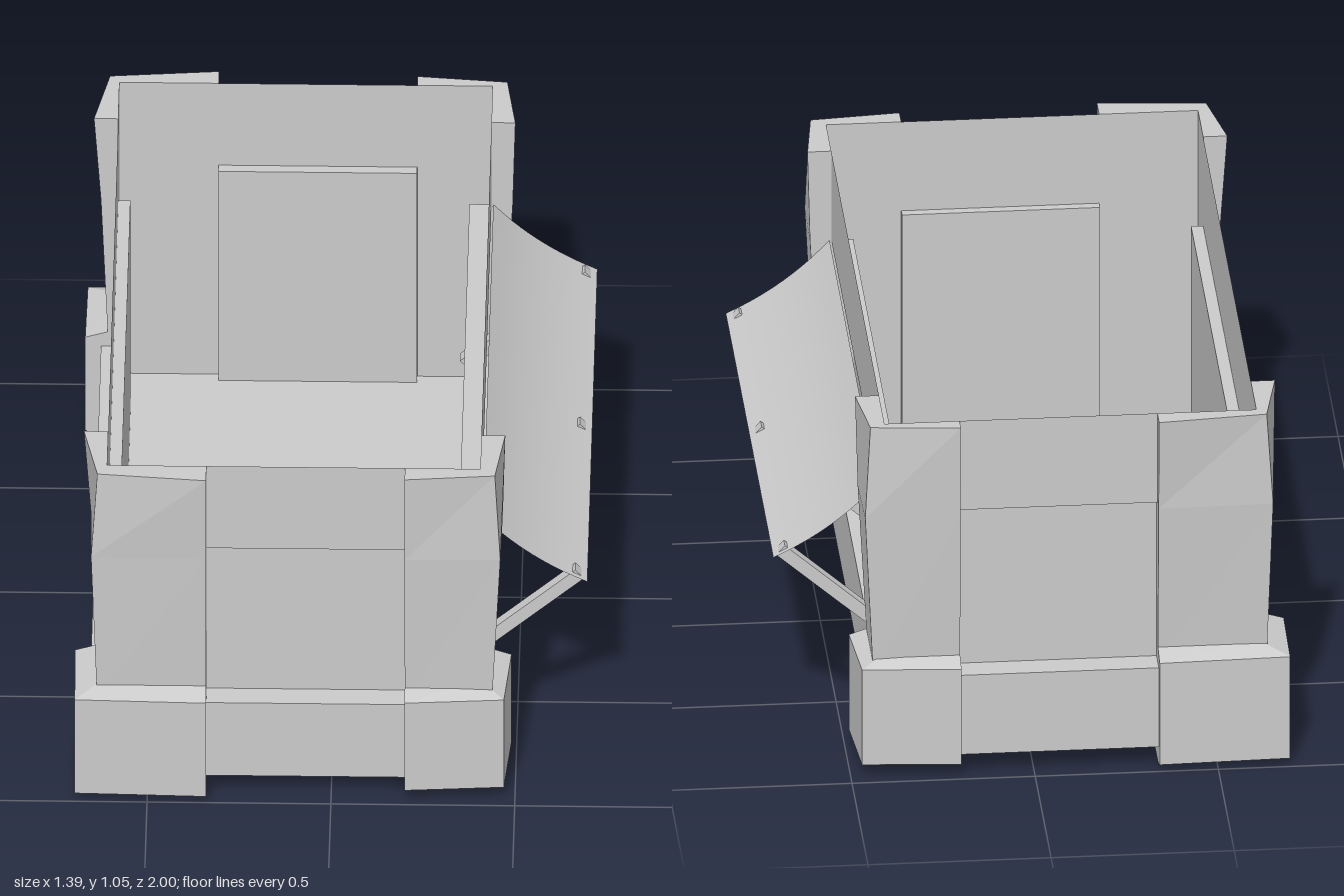
import * as THREE from 'three';

const mat = new THREE.MeshStandardMaterial({ color: 0xcccccc, flatShading: true });
const sheetMat = new THREE.MeshStandardMaterial({ color: 0xcccccc, side: THREE.DoubleSide });

// inner planes of the crate: recessed panel, upper plank and rail faces
const PANEL = { xn: -0.577, xp: 0.345, zn: -0.895, zp: 0.886 };
const PLANK = { xn: -0.61, xp: 0.405, zn: -0.925, zp: 0.912 };
const RAIL = { xn: -0.657, xp: 0.425, zn: -0.97, zp: 0.956 };
const X0 = -0.34, X1 = 0.2, Z = 0.75, FLOOR = 0.06, RAIL_TOP = 0.3, LEDGE = 0.78, TOP = 1.05;

function add(group, name, geometry, material = mat) {
  const mesh = new THREE.Mesh(geometry, material);
  mesh.name = name;
  group.add(mesh);
  return mesh;
}

function fromTriangles(pts) {
  const g = new THREE.BufferGeometry();
  g.setAttribute('position', new THREE.Float32BufferAttribute(pts.flat(), 3));
  g.computeVertexNormals();
  return g;
}

// solid through stacked rings of [x, y, z]; caps fan out from the first point
function loft(rings) {
  const r0 = rings[0];
  let area = 0;
  r0.forEach((p, i) => {
    const q = r0[(i + 1) % r0.length];
    area += p[2] * q[0] - q[2] * p[0];
  });
  if (area < 0) rings = rings.map(r => [r[0], ...r.slice(1).reverse()]);
  const n = r0.length, t = [];
  for (let k = 0; k + 1 < rings.length; k++) {
    const a = rings[k], b = rings[k + 1];
    for (let i = 0; i < n; i++) {
      const j = (i + 1) % n;
      t.push(a[i], a[j], b[j], a[i], b[j], b[i]);
    }
  }
  const lo = rings[0], hi = rings[rings.length - 1];
  for (let i = 1; i + 1 < n; i++) t.push(lo[0], lo[i + 1], lo[i], hi[0], hi[i], hi[i + 1]);
  return fromTriangles(t);
}

// L-shaped ring: inner corner (xi, zi), outer corner (xc, zc), flared ends xa and zb
function ell({ xi, zi, xe, ze, xc, zc, xa, zb }, yIn, yOut) {
  return [[xi, yIn, zi], [xi, yIn, ze], [xa, yOut, ze], [xc, yOut, zc], [xe, yOut, zb], [xe, yIn, zi]];
}

function box(x0, x1, y0, y1, z0, z1) {
  return new THREE.BoxGeometry(x1 - x0, y1 - y0, z1 - z0)
    .translate((x0 + x1) / 2, (y0 + y1) / 2, (z0 + z1) / 2);
}

// stepped sheet: recessed panel, ledge, upper plank, and strips closing its ends
function wall(panel, plank, a, b, alongZ) {
  const at = (o, y, s) => (alongZ ? [o, y, s] : [s, y, o]);
  const quad = (p, q, r, s) => [p, q, r, p, r, s];
  const prof = [[panel, FLOOR], [panel, LEDGE], [plank, LEDGE], [plank, TOP]];
  const t = [];
  for (let i = 0; i < 3; i++) {
    const [o, y] = prof[i], [o2, y2] = prof[i + 1];
    t.push(...quad(at(o, y, a), at(o, y, b), at(o2, y2, b), at(o2, y2, a)));
  }
  for (const s of [a, b]) {
    t.push(...quad(at(panel, FLOOR, s), at(plank, FLOOR, s), at(plank, LEDGE, s), at(panel, LEDGE, s)));
  }
  return fromTriangles(t);
}

export function createModel() {
  const model = new THREE.Group();
  model.name = 'crateStall';

  // walls
  add(model, 'rightLongWall', wall(PANEL.xn, PLANK.xn, -Z, Z, true), sheetMat);
  add(model, 'leftLongWall', wall(PANEL.xp, PLANK.xp, -Z, Z, true), sheetMat);
  add(model, 'backWall', wall(PANEL.zn, PLANK.zn, X0, X1, false), sheetMat);
  add(model, 'frontWall', wall(PANEL.zp, PLANK.zp, X0, X1, false), sheetMat);

  // floor and base rails
  add(model, 'floor', box(PLANK.xn, PLANK.xp, FLOOR, FLOOR + 0.03, PLANK.zn, PLANK.zp));
  add(model, 'rightRail', box(RAIL.xn, PANEL.xn, FLOOR, RAIL_TOP, -Z, Z));
  add(model, 'leftRail', box(PANEL.xp, RAIL.xp, FLOOR, RAIL_TOP, -Z, Z));
  add(model, 'backRail', box(X0, X1, FLOOR, RAIL_TOP, RAIL.zn, PANEL.zn));
  add(model, 'frontRail', box(X0, X1, FLOOR, RAIL_TOP, PANEL.zp, RAIL.zp));

  // corner posts and feet
  for (const left of [false, true]) {
    for (const s of [-1, 1]) {
      const corner = new THREE.Group();
      corner.name = (s > 0 ? 'front' : 'back') + (left ? 'Left' : 'Right') + 'Corner';
      model.add(corner);
      const base = {
        xi: left ? PLANK.xp : PLANK.xn, zi: s > 0 ? PLANK.zp : PLANK.zn,
        xe: left ? X1 : X0, ze: s * Z,
      };

      // post: [y, corner x, flared x, corner z, flared z]
      const levels = left
        ? [[0.3, 0.437, 0.437, 0.94, 0.94], [0.78, 0.46, 0.463, 0.955, 0.96], [TOP, 0.445, 0.47, 0.945, 0.968]]
        : [[0.3, -0.637, -0.637, 0.94, 0.94], [0.78, -0.653, -0.657, 0.96, 0.965], [TOP, -0.636, -0.676, 0.955, 0.982]];
      add(corner, 'post', loft(levels.map(([y, xc, xa, zc, zb]) =>
        ell({ ...base, xc, xa, zc: s * zc, zb: s * zb }, y, y))));

      // foot sleeve with a sloping top, and a pad below the floor
      const f = left
        ? { xc: 0.47, xa: 0.487, zc: s * 0.97, zb: s * 0.99 }
        : { xc: -0.697, xa: -0.7, zc: s * 0.99, zb: s };
      const yOut = left ? 0.04 : 0.02, yLow = left ? 0.015 : 0;
      add(corner, 'foot', loft([
        ell({ ...base, ...f }, FLOOR + 0.01, yOut + 0.01),
        ell({ ...base, ...f }, 0.355, 0.328),
      ]));
      const { xe, ze } = base;
      const mx = f.xc * 0.8 + xe * 0.2, mz = f.zc * 0.8 + ze * 0.2;
      add(corner, 'footPad', loft([
        [[xe, yLow, ze], [mx, yLow, ze], [mx, yLow, mz], [xe, yLow, mz]],
        [[xe, yOut, ze], [f.xa, yOut, ze], [f.xc, yOut, f.zc], [xe, yOut, f.zb]],
        [[xe, 0.07, ze], [f.xa, 0.07, ze], [f.xc, 0.07, f.zc], [xe, 0.07, f.zb]],
      ]));
    }
  }

  // curved awning sheet on the left side
  const curve = new THREE.QuadraticBezierCurve3(
    new THREE.Vector3(0.41, LEDGE, 0), new THREE.Vector3(0.53, 0.645, 0), new THREE.Vector3(0.693, 0.57, 0));
  const awning = new THREE.PlaneGeometry(1, 2 * Z, 10, 1);
  const pos = awning.attributes.position;
  for (let i = 0; i < pos.count; i++) {
    const p = curve.getPoint(pos.getX(i) + 0.5);
    pos.setXYZ(i, p.x, p.y, -pos.getY(i));
  }
  awning.computeVertexNormals();
  add(model, 'awning', awning, sheetMat);

  // struts holding up the awning
  const a = new THREE.Vector2(0.332, 0.285), b = new THREE.Vector2(0.672, 0.583);
  for (const z of [-0.715, 0.015, 0.715]) {
    const strut = add(model, 'awningStrut', new THREE.BoxGeometry(a.distanceTo(b), 0.036, 0.036));
    strut.position.set((a.x + b.x) / 2, (a.y + b.y) / 2, z);
    strut.rotation.z = Math.atan2(b.y - a.y, b.x - a.x);
  }
  return model;
}
